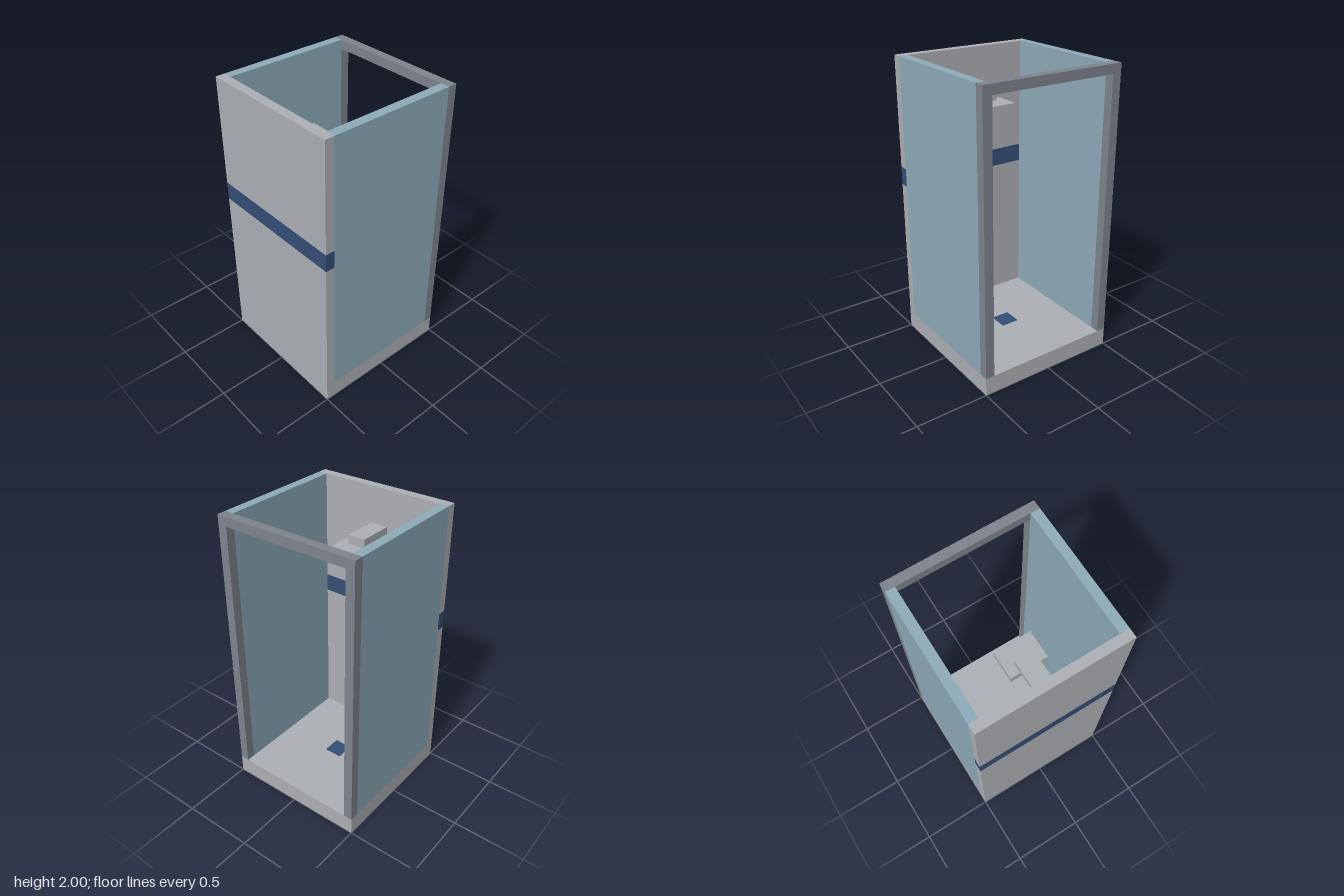
import * as THREE from 'three';

const material = (name, color) => {
  const m = new THREE.MeshStandardMaterial({ color });
  m.name = name;
  return m;
};

export function createModel() {
  const shell = material('light grey shell', 0xadb0b5);
  const frame = material('dark grey frame', 0x7f848d);
  const glass = material('pale blue glass', 0x8eacba);
  const trim = material('navy trim', 0x344f77);

  const group = new THREE.Group();
  group.name = 'showerCabin';

  // Box given by its minimum and maximum corners
  const box = (name, mat, [x0, y0, z0], [x1, y1, z1]) => {
    const mesh = new THREE.Mesh(new THREE.BoxGeometry(x1 - x0, y1 - y0, z1 - z0), mat);
    mesh.position.set((x0 + x1) / 2, (y0 + y1) / 2, (z0 + z1) / 2);
    mesh.name = name;
    group.add(mesh);
  };

  const H = 0.5;        // half width
  const I = 0.4375;     // inner half width
  const FLOOR = 0.125;  // top of the tray

  // Shower tray and drain
  box('tray', shell, [-H, 0, -H], [H, FLOOR, H]);
  box('drain', trim, [-0.0625, FLOOR, -0.0625], [0.0625, FLOOR + 0.003, 0.0625]);

  // Solid front wall, with a trim band running right through it
  box('lowerWall', shell, [-H, FLOOR, I], [H, 1.125, H]);
  box('wallBand', trim, [-H, 1.125, I], [H, 1.25, H]);
  box('upperWall', shell, [-H, 1.25, I], [H, 2, H]);

  // Glass sides and door posts
  for (const [side, x0, x1] of [['left', I, H], ['right', -H, -I]]) {
    box(`${side}GlassPanel`, glass, [x0, FLOOR, -I], [x1, 2, I]);
    box(`${side}DoorPost`, frame, [x0, FLOOR, -H], [x1, 2, -I]);
  }

  // Rail over the open doorway
  box('doorRail', frame, [-I, 1.9375, -H], [I, 2, -I]);

  // Shower arm and head
  box('showerArm', shell, [-0.0625, 1.6875, 0.1875], [0.0625, 1.75, I]);
  box('showerHead', shell, [-0.125, 1.625, 0.0625], [0.125, 1.6875, 0.25]);

  return group;
}
